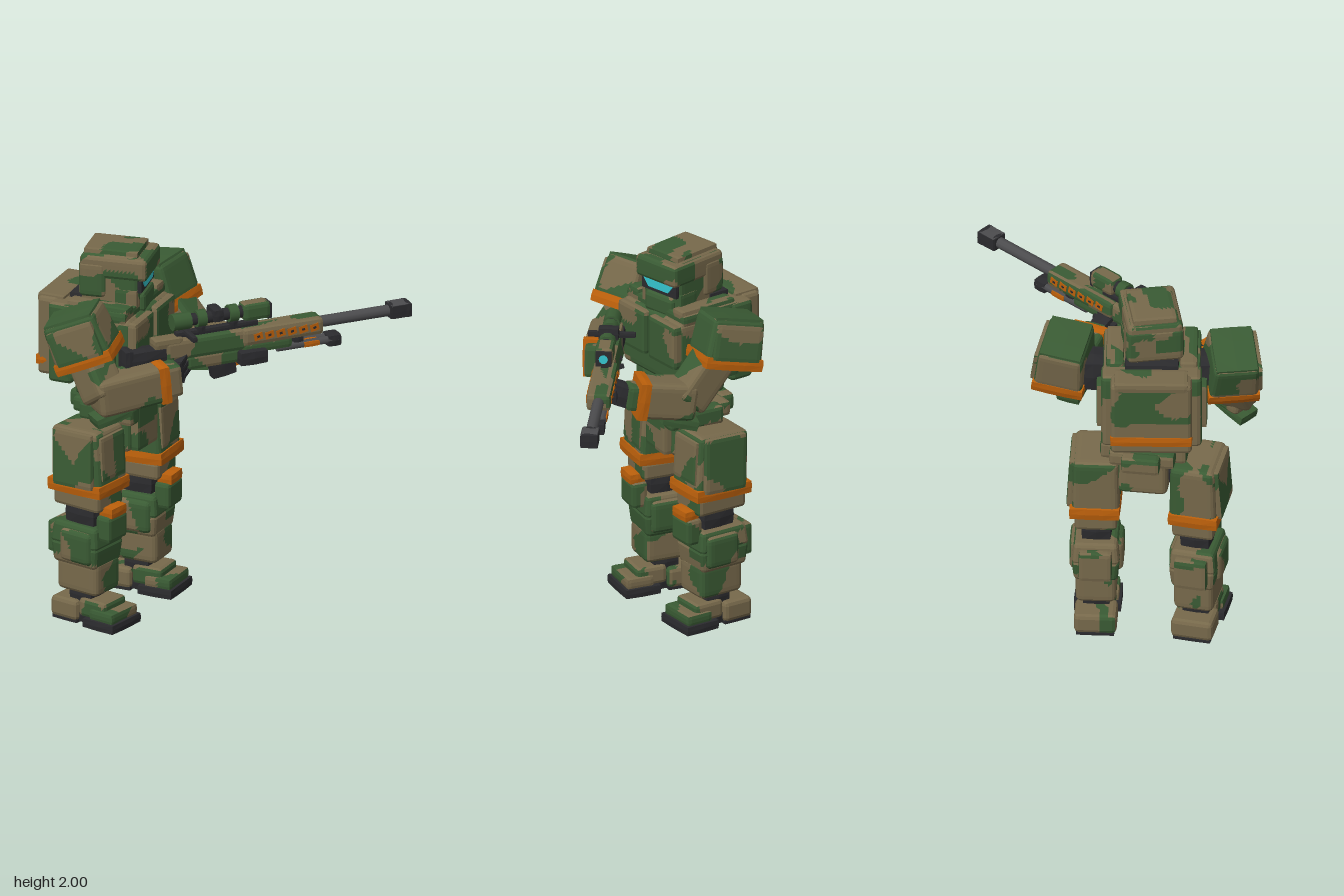
import * as THREE from 'three';

const mat = (name, color) => Object.assign(new THREE.MeshStandardMaterial({ color }), { name });
const green = mat('camo green', 0x3a5b34), tan = mat('camo tan', 0x77694b);
const orange = mat('orange trim', 0xbc600b), dark = mat('dark rubber', 0x2b2b2e);
const steel = mat('gunmetal', 0x4c4c4e), cyan = mat('visor cyan', 0x35c6cf);

let seed = 0;

// smooth blotch function that splits surfaces into two camo colours
function blotch(x, y, z, s) {
  return Math.sin(15 * x + 1.2 * Math.sin(13 * y + s) + s) +
    Math.sin(16 * y + 1.2 * Math.sin(14 * z + s) + 2.3 * s) +
    Math.sin(15 * z + 1.2 * Math.sin(15 * x) + 3.1 * s);
}

// box with rounded-off edges; taper scales the top in x and z
function blockGeometry([w, h, d], cell, taper) {
  const seg = (v) => Math.max(2, Math.min(20, Math.round(v / cell)));
  const g = new THREE.BoxGeometry(w, h, d, seg(w), seg(h), seg(d));
  const half = new THREE.Vector3(w, h, d).multiplyScalar(0.5);
  const r = Math.min(0.032, Math.min(w, h, d) * 0.2);
  const inner = half.clone().subScalar(r);
  const p = new THREE.Vector3(), q = new THREE.Vector3(), a = g.attributes.position;
  for (let i = 0; i < a.count; i++) {
    p.fromBufferAttribute(a, i);
    q.copy(p).clamp(inner.clone().negate(), inner);
    p.sub(q);
    if (p.length() > r) p.setLength(r);
    p.add(q);
    const k = 1 + (taper - 1) * (p.y / h + 0.5);
    a.setXYZ(i, p.x * k, p.y, p.z * k);
  }
  const flat = g.toNonIndexed();
  flat.computeVertexNormals();
  return flat;
}

function place(parent, name, mesh, pos, rot = [0, 0, 0]) {
  mesh.name = name;
  mesh.position.set(...pos);
  mesh.rotation.set(rot[0], rot[1], rot[2], 'YXZ');
  parent.add(mesh);
  return mesh;
}

// one plain colour
function block(parent, name, size, pos, material, rot, taper = 1) {
  return place(parent, name, new THREE.Mesh(blockGeometry(size, 0.1, taper), material), pos, rot);
}

// green and tan camouflage; tanShare is the fraction of the surface that is tan
function camo(parent, name, size, pos, tanShare, rot, taper = 1) {
  const g = blockGeometry(size, 0.021, taper), a = g.attributes.position, s = ++seed * 1.7;
  const values = [];
  for (let i = 0; i < a.count; i += 3) {
    const mid = (f) => (a[f](i) + a[f](i + 1) + a[f](i + 2)) / 3;
    values.push(blotch(mid('getX'), mid('getY'), mid('getZ'), s));
  }
  const cut = [...values].sort((p, q) => q - p)[Math.floor(values.length * tanShare)];
  const sets = [[], []];
  values.forEach((v, i) => sets[v > cut ? 1 : 0].push(3 * i, 3 * i + 1, 3 * i + 2));
  g.setIndex([...sets[0], ...sets[1]]);
  g.addGroup(0, sets[0].length, 0);
  g.addGroup(sets[0].length, sets[1].length, 1);
  return place(parent, name, new THREE.Mesh(g, [green, tan]), pos, rot);
}

// cylinder lying along local x
function rod(parent, name, r, x0, x1, y, z, material, sides = 10) {
  const g = new THREE.CylinderGeometry(r, r, x1 - x0, sides).rotateZ(-Math.PI / 2);
  return place(parent, name, new THREE.Mesh(g, material), [(x0 + x1) / 2, y, z]);
}

function group(parent, name, pos, yaw = 0) {
  return place(parent, name, new THREE.Group(), pos, [0, yaw, 0]);
}

// group whose local z runs from one joint to the next
function limb(parent, name, from, to) {
  const g = group(parent, name, from);
  g.lookAt(new THREE.Vector3(...to));
  g.userData.length = g.position.distanceTo(new THREE.Vector3(...to));
  return g;
}

function buildHead(root) {
  const h = group(root, 'head', [-0.32, 0, 0.28], 0.38);
  camo(h, 'helmetShell', [0.31, 0.3, 0.27], [-0.02, 1.83, 0], 0.35);
  camo(h, 'helmetCap', [0.36, 0.12, 0.29], [0, 1.91, 0], 0.45);
  camo(h, 'helmetCrown', [0.29, 0.05, 0.23], [-0.02, 1.975, 0], 0.5);
  camo(h, 'helmetBack', [0.15, 0.2, 0.3], [-0.11, 1.84, 0], 0.45);
  block(h, 'visorFrame', [0.03, 0.08, 0.25], [0.135, 1.82, 0], dark);
  const lens = new THREE.Shape([[-0.11, 0.025], [0.11, 0.025], [0.07, -0.025], [-0.07, -0.025]]
    .map((p) => new THREE.Vector2(...p)).reverse());
  place(h, 'visor', new THREE.Mesh(new THREE.ExtrudeGeometry(lens, { depth: 0.008, bevelEnabled: false }), cyan),
    [0.149, 1.828, 0], [0, Math.PI / 2, 0]);
  camo(h, 'jawGuard', [0.12, 0.11, 0.2], [0.1, 1.72, 0], 0.1);
  for (const s of [-1, 1]) camo(h, 'cheekGuard', [0.12, 0.12, 0.04], [0.07, 1.74, s * 0.12], 0.35);
  block(h, 'neck', [0.2, 0.1, 0.2], [-0.02, 1.68, 0], dark);
}

function buildTorso(root) {
  const t = group(root, 'torso', [-0.33, 0, 0.29], 0.22);
  camo(t, 'chest', [0.38, 0.36, 0.5], [0, 1.5, 0], 0.25);
  camo(t, 'collar', [0.36, 0.06, 0.5], [-0.02, 1.69, 0], 0.35);
  for (const s of [-1, 1]) {
    camo(t, 'breastPlate', [0.08, 0.24, 0.23], [0.18, 1.55, s * 0.13], 0.35);
    block(t, 'shoulderJoint', [0.18, 0.18, 0.18], [0, 1.58, s * 0.3], dark);
    camo(t, 'collarStrap', [0.34, 0.06, 0.09], [-0.01, 1.71, s * 0.19], 0.45);
    camo(t, 'sidePanel', [0.28, 0.26, 0.05], [-0.03, 1.46, s * 0.26], 0.1);
  }
  camo(t, 'abdomen', [0.34, 0.17, 0.34], [0, 1.28, 0], 0.2);
  camo(t, 'abdomenPlate', [0.08, 0.13, 0.2], [0.14, 1.27, 0], 0.3);
  block(t, 'waist', [0.25, 0.12, 0.27], [0, 1.18, 0], dark);
  // backpack
  camo(t, 'backpackBase', [0.14, 0.44, 0.52], [-0.21, 1.5, 0], 0.2);
  camo(t, 'backpack', [0.12, 0.43, 0.42], [-0.3, 1.51, 0], 0.35);
  camo(t, 'backpackLid', [0.15, 0.05, 0.38], [-0.29, 1.71, 0], 0.85);
  block(t, 'backpackTrim', [0.08, 0.06, 0.425], [-0.328, 1.375, 0], orange);
  block(t, 'neckCollar', [0.12, 0.06, 0.28], [-0.15, 1.72, 0], dark);
}

function buildHips(root) {
  const p = group(root, 'hips', [-0.35, 0, 0.26], 0.1);
  camo(p, 'belt', [0.34, 0.08, 0.34], [0, 1.12, 0], 0.1);
  for (const s of [-1, 1]) {
    camo(p, 'hipPouch', [0.2, 0.1, 0.09], [0, 1.12, s * 0.18], 0.1);
    camo(p, 'frontPouch', [0.08, 0.1, 0.09], [0.16, 1.12, s * 0.15], 0.1);
    block(p, 'hipJoint', [0.16, 0.15, 0.2], [0, 1.0, s * 0.14], dark);
  }
  camo(p, 'backPouch', [0.08, 0.09, 0.2], [-0.19, 1.12, 0], 0.1);
  camo(p, 'pelvis', [0.28, 0.26, 0.25], [0, 1.02, 0], 0.55, [Math.PI, 0, 0], 1.05);
  camo(p, 'codpiece', [0.06, 0.32, 0.2], [0.155, 1.06, 0], 0.85);
  block(p, 'bellyGuard', [0.1, 0.08, 0.26], [0.13, 1.205, 0], tan);
}

function buildLeg(root, name, x, z, yaw, side, shinShare, bootX) {
  const g = group(root, name, [x, 0, z], yaw);
  camo(g, 'thigh', [0.32, 0.36, 0.25], [0, 0.9, 0], 0.4, [0, 0, 0.05], 0.94);
  camo(g, 'thighPlate', [0.25, 0.3, 0.06], [0, 0.92, side * 0.115], 0.35, [side * -0.06, 0, 0.05]);
  camo(g, 'thighFront', [0.05, 0.24, 0.2], [0.14, 0.94, 0], 0.4, [0, 0, 0.05]);
  block(g, 'thighTrim', [0.345, 0.075, 0.268], [0.005, 0.762, side * 0.005], orange, [0, 0, 0.04]);
  camo(g, 'thighCuff', [0.29, 0.1, 0.22], [0, 0.69, 0], 0.85);
  block(g, 'kneeJoint', [0.2, 0.16, 0.17], [0, 0.6, 0], dark);
  camo(g, 'kneePad', [0.09, 0.14, 0.16], [0.15, 0.55, 0], 0.1);
  block(g, 'kneeTrim', [0.09, 0.06, 0.13], [0.158, 0.64, 0], orange);
  camo(g, 'calfTop', [0.3, 0.12, 0.25], [-0.01, 0.49, 0], 0.3, [0, 0, 0], 0.9);
  camo(g, 'calf', [0.3, 0.13, 0.25], [-0.01, 0.385, 0], 0.4, [Math.PI, 0, 0], 0.9);
  camo(g, 'calfGuard', [0.2, 0.18, 0.28], [0.01, 0.435, 0], 0.25);
  camo(g, 'calfBack', [0.06, 0.17, 0.17], [-0.17, 0.44, 0], 0.1);
  camo(g, 'shin', [0.26, 0.19, 0.21], [0, 0.265, 0], shinShare);
  block(g, 'ankle', [0.15, 0.1, 0.15], [0, 0.15, 0], dark);
  // boot
  const b = group(g, 'boot', [bootX, 0, 0]);
  block(b, 'heelSole', [0.16, 0.03, 0.2], [-0.12, 0.015, 0], dark);
  block(b, 'archSole', [0.1, 0.08, 0.17], [-0.01, 0.045, 0], dark);
  block(b, 'toeSole', [0.2, 0.055, 0.25], [0.11, 0.0275, 0], dark);
  camo(b, 'heel', [0.17, 0.11, 0.22], [-0.12, 0.07, 0], 0.7);
  camo(b, 'instep', [0.17, 0.1, 0.19], [0.05, 0.095, 0], 0.45);
  camo(b, 'toeCap', [0.15, 0.06, 0.22], [0.12, 0.075, 0], 0.45);
}

function buildArm(root, name, s) {
  const arm = group(root, name, [0, 0, 0]);
  const pad = place(arm, 'shoulderPad', new THREE.Group(), s.pad, s.padRot);
  camo(pad, 'padShell', [0.32, 0.23, 0.26], [0, 0.03, 0], 0.25, [0, 0, 0], 0.9);
  camo(pad, 'padOuter', [0.26, 0.19, 0.05], [0, 0.02, s.side * 0.12], 0.35, [s.side * -0.08, 0, 0]);
  block(pad, 'padTop', [0.27, 0.04, 0.22], [0, 0.132, 0], green);
  block(pad, 'padTrim', [0.328, 0.072, 0.278], [0, -0.09, 0], orange);
  const u = limb(arm, 'upperArm', s.shoulder, s.elbow), ul = u.userData.length;
  camo(u, 'upperArmShell', [0.18, 0.19, ul * 0.9], [0, 0, ul * 0.6], 0.75);
  const f = limb(arm, 'forearm', s.elbow, s.wrist), l = f.userData.length;
  camo(f, 'forearmShell', [0.18, 0.2, l + 0.03], [0, 0.01, l * 0.38], 0.75);
  block(f, 'elbowGuard', [0.13, 0.06, 0.2], [0, -0.11, 0.02], green, [-0.15, 0, 0]);
  block(f, 'forearmTrim', [0.194, 0.21, 0.065], [0, 0.01, l * 0.86], orange);
  camo(f, 'cuff', s.cuff, [0, 0.01, l * 1.02], 0.1);
  const h = limb(arm, 'hand', s.wrist, s.hand), hl = h.userData.length;
  block(h, 'palm', [0.1, 0.12, hl + 0.08], [0, 0, hl * 0.6], dark);
  for (let i = 0; i < 3; i++) block(h, 'finger', [0.1, 0.03, 0.08], [0, 0.045 - i * 0.042, hl + 0.03], dark);
}

function buildRifle(root) {
  const r = group(root, 'rifle', [-0.1, 0, 0.555], 1.061);
  block(r, 'buttPad', [0.05, 0.14, 0.1], [0.025, 1.48, 0], dark);
  block(r, 'stock', [0.24, 0.1, 0.105], [0.12, 1.49, 0], dark);
  camo(r, 'cheekRest', [0.16, 0.05, 0.085], [0.25, 1.555, 0], 0.85);
  camo(r, 'receiver', [0.46, 0.11, 0.09], [0.46, 1.51, 0], 0.3);
  camo(r, 'lowerReceiver', [0.3, 0.08, 0.08], [0.5, 1.43, 0], 0.3);
  block(r, 'grip', [0.07, 0.14, 0.06], [0.33, 1.39, 0], dark, [0, 0, -0.3]);
  block(r, 'magazine', [0.14, 0.14, 0.07], [0.56, 1.39, 0], dark, [0, 0, 0.15]);
  block(r, 'grippingHand', [0.16, 0.08, 0.16], [0.71, 1.42, 0.01], dark);
  block(r, 'topRail', [0.46, 0.03, 0.04], [0.53, 1.585, 0], dark);
  block(r, 'chargingHandle', [0.03, 0.03, 0.25], [0.36, 1.59, 0], dark);
  // handguard with vents
  camo(r, 'handguard', [0.45, 0.09, 0.126], [0.885, 1.525, 0], 0.65);
  camo(r, 'foreGrip', [0.28, 0.06, 0.09], [0.8, 1.46, 0], 0.2);
  for (const s of [-1, 1]) for (let i = 0; i < 6; i++) {
    place(r, 'vent', new THREE.Mesh(new THREE.BoxGeometry(0.048, 0.038, 0.006), orange), [0.74 + i * 0.063, 1.528, s * 0.063], [0, 0, 0.2]);
    place(r, 'ventSlot', new THREE.Mesh(new THREE.BoxGeometry(0.016, 0.012, 0.008), dark), [0.74 + i * 0.063, 1.528, s * 0.064], [0, 0, 0.2]);
  }
  // barrel and muzzle brake
  rod(r, 'barrel', 0.03, 1.08, 1.52, 1.528, 0, steel);
  block(r, 'brakeRear', [0.035, 0.075, 0.085], [1.51, 1.528, 0], dark);
  block(r, 'brakeFront', [0.035, 0.075, 0.095], [1.595, 1.528, 0], dark);
  for (const s of [-1, 1]) {
    block(r, 'brakeSide', [0.1, 0.07, 0.02], [1.55, 1.528, s * 0.036], dark);
    block(r, 'brakeBar', [0.1, 0.016, 0.085], [1.55, 1.528 + s * 0.029, 0], steel);
    rod(r, 'bipodLeg', 0.021, 0.86, 1.2, 1.43, s * 0.022, steel, 8);
  }
  block(r, 'bipodFoot', [0.08, 0.066, 0.09], [1.18, 1.425, 0], dark);
  block(r, 'bipodClamp', [0.09, 0.032, 0.092], [1.05, 1.43, 0], orange);
  block(r, 'bipodMount', [0.06, 0.08, 0.07], [0.98, 1.46, 0], dark);
  // scope
  rod(r, 'scopeTube', 0.032, 0.3, 0.8, 1.655, 0, dark);
  rod(r, 'scopeEyepiece', 0.045, 0.28, 0.38, 1.655, 0, green);
  camo(r, 'scopeHood', [0.15, 0.09, 0.095], [0.745, 1.655, 0], 0.3);
  block(r, 'scopeRim', [0.03, 0.085, 0.085], [0.813, 1.65, 0], dark);
  rod(r, 'scopeLens', 0.024, 0.822, 0.83, 1.65, 0, cyan);
  for (const x of [0.44, 0.62]) {
    rod(r, 'scopeRing', 0.046, x - 0.025, x + 0.025, 1.655, 0, green);
    block(r, 'scopeMount', [0.05, 0.06, 0.05], [x, 1.61, 0], dark);
  }
  block(r, 'scopeTurret', [0.06, 0.07, 0.11], [0.525, 1.67, 0], dark);
}

export function createModel() {
  seed = 0;
  const root = new THREE.Group();
  root.name = 'armouredRifleTrooper';
  buildHead(root);
  buildTorso(root);
  buildHips(root);
  buildLeg(root, 'rightLeg', -0.33, 0.535, 0, 1, 0.8, 0.04);
  buildLeg(root, 'leftLeg', -0.38, 0.01, 0.18, -1, 0.6, 0.02);
  buildArm(root, 'rightArm', {
    side: 1, pad: [-0.25, 1.62, 0.69], padRot: [0.03, 0.4, 0.4], cuff: [0.16, 0.17, 0.09],
    shoulder: [-0.27, 1.6, 0.67], elbow: [-0.1, 1.34, 0.7], wrist: [0.075, 1.375, 0.39], hand: [0.065, 1.41, 0.31],
  });
  buildArm(root, 'leftArm', {
    side: -1, pad: [-0.4, 1.625, -0.155], padRot: [0.1, 0, 0.22], cuff: [0.12, 0.13, 0.07],
    shoulder: [-0.37, 1.6, -0.15], elbow: [-0.15, 1.35, -0.18], wrist: [0.12, 1.39, -0.13], hand: [0.22, 1.43, -0.08],
  });
  buildRifle(root);
  return root;
}
